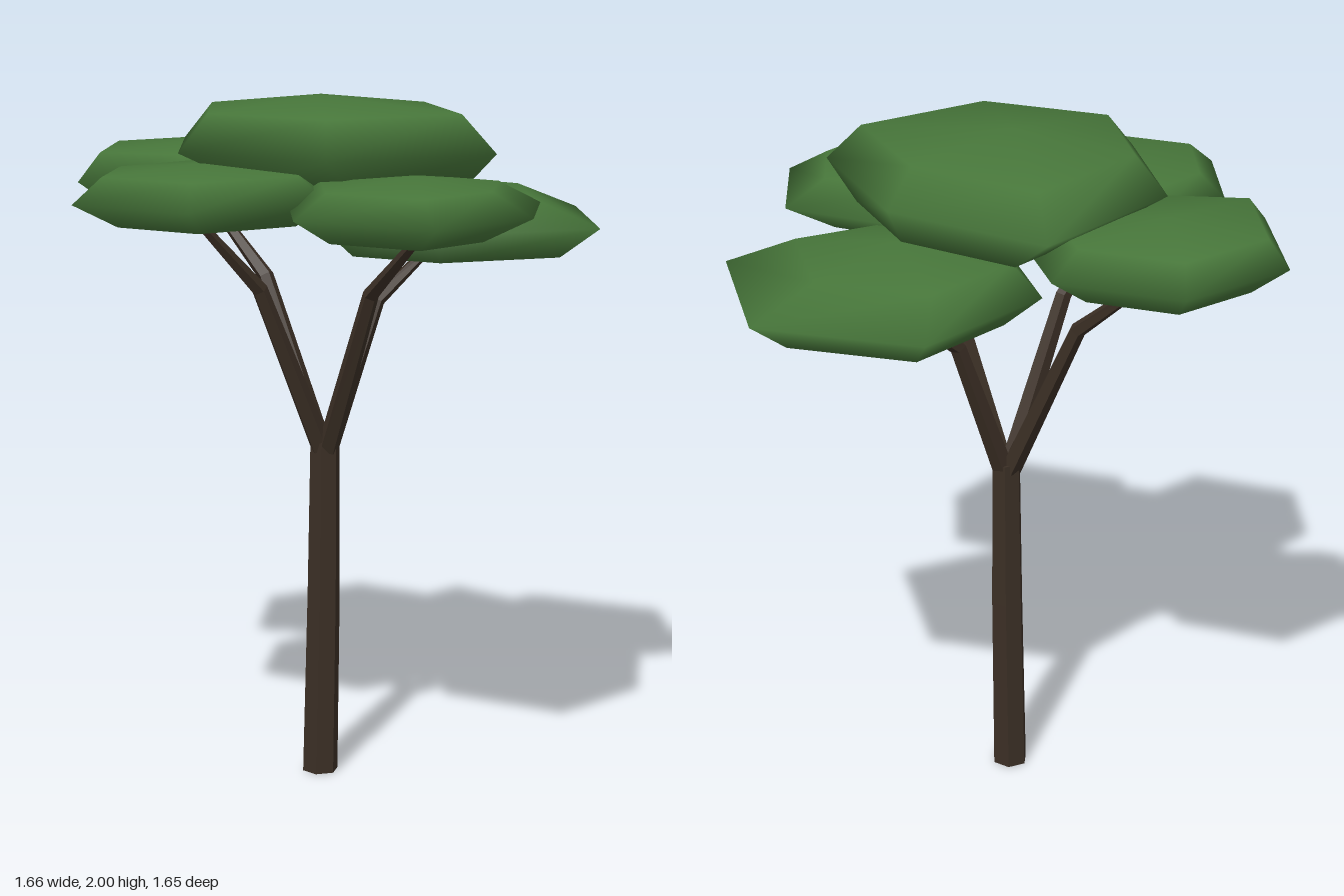
import * as THREE from 'three';

const leaf = new THREE.MeshStandardMaterial({ color: 0x47763a });
leaf.name = 'leaf green';
const bark = new THREE.MeshStandardMaterial({ color: 0x3b2f25 });
bark.name = 'bark brown';

// Skin equal rings of points, listed top to bottom and clockwise from above,
// closing both ends on a centre point.
function loft(top, rings, bottom) {
  const n = rings[0].length;
  const points = [top, ...rings.flat(), bottom];
  const index = [];
  const last = points.length - 1;
  for (let i = 0; i < n; i++) {
    const j = (i + 1) % n;
    index.push(0, 1 + j, 1 + i);
    for (let r = 0; r < rings.length - 1; r++) {
      const a = 1 + r * n + i, b = 1 + r * n + j;
      index.push(a, b, b + n, a, b + n, a + n);
    }
    index.push(last, last - n + i, last - n + j);
  }
  const geometry = new THREE.BufferGeometry().setFromPoints(points);
  geometry.setIndex(index);
  geometry.computeVertexNormals();
  return geometry;
}

// Flattened six-sided leaf cushion: heights run from crown to underside,
// upper and lower are [scale, dx, dz] of the rings beside the rim.
function cushion(name, rim, heights, upper, lower) {
  const mid = (k) => {
    const values = rim.map((p) => p[k]);
    return (Math.min(...values) + Math.max(...values)) / 2;
  };
  const cx = mid(0), cz = mid(1);
  const ring = ([s, dx, dz], y) => rim.map(([x, z]) =>
    new THREE.Vector3(cx + dx + (x - cx) * s, y, cz + dz + (z - cz) * s));
  const [crown, high, middle, low, base] = heights;
  const geometry = loft(
    new THREE.Vector3(cx + upper[1], crown, cz + upper[2]),
    [ring(upper, high), ring([1, 0, 0], middle), ring(lower, low)],
    new THREE.Vector3(cx + lower[1], base, cz + lower[2]));
  const mesh = new THREE.Mesh(geometry, leaf);
  mesh.name = name;
  return mesh;
}

// Faceted limb through [x, y, z, radius] stations, from tip to base.
function limb(name, stations, sides, level = false) {
  const pts = stations.map((s) => new THREE.Vector3(s[0], s[1], s[2]));
  const rings = pts.map((p, k) => {
    const axis = level ? new THREE.Vector3(0, 1, 0)
      : pts[Math.max(k - 1, 0)].clone().sub(pts[Math.min(k + 1, pts.length - 1)]).normalize();
    const u = new THREE.Vector3(1, 0, 0).addScaledVector(axis, -axis.x).normalize();
    const v = axis.clone().cross(u);
    return Array.from({ length: sides }, (_, i) => {
      const a = -(i + 0.25) / sides * Math.PI * 2;
      return p.clone().addScaledVector(u, Math.cos(a) * stations[k][3])
        .addScaledVector(v, Math.sin(a) * stations[k][3]);
    });
  });
  const geometry = loft(pts[0], rings, pts[pts.length - 1]).toNonIndexed();
  geometry.computeVertexNormals();
  const mesh = new THREE.Mesh(geometry, bark);
  mesh.name = name;
  return mesh;
}

export function createModel() {
  const tree = new THREE.Group();
  tree.name = 'tree';

  // Trunk, slightly bent
  tree.add(limb('trunk', [
    [-0.033, 1.0, -0.045, 0.044],
    [-0.037, 0.55, -0.047, 0.049],
    [-0.048, 0, -0.05, 0.053],
  ], 6, true));

  // Branches: knee and tip of each
  const branches = [
    ['leftwardBranch', [0.14, 1.4, -0.04], [0.34, 1.56, -0.03]],
    ['rightwardBranch', [-0.25, 1.46, -0.04], [-0.46, 1.68, -0.03]],
    ['frontBranch', [-0.03, 1.46, 0.2], [-0.03, 1.66, 0.46]],
    ['backBranch', [-0.1, 1.46, -0.27], [-0.16, 1.67, -0.51]],
  ];
  for (const [name, knee, tip] of branches) {
    const start = [-0.033 + (knee[0] + 0.033) * 0.06, 0.98, -0.045 + (knee[2] + 0.045) * 0.06];
    tree.add(limb(name, [[...tip, 0.013], [...knee, 0.024], [...start, 0.032]], 5));
  }

  // Leaf cushions
  tree.add(
    cushion('topCanopy',
      [[-0.5, -0.05], [-0.27, -0.44], [0.24, -0.53], [0.39, -0.05], [0.24, 0.42], [-0.27, 0.36]],
      [2.0, 1.965, 1.86, 1.765, 1.735], [0.8, 0, 0.01], [0.72, 0.08, 0]),
    cushion('leftCanopy',
      [[-0.07, 0], [0.1, -0.35], [0.56, -0.42], [0.83, -0.02], [0.59, 0.43], [0.12, 0.32]],
      [1.75, 1.71, 1.63, 1.54, 1.52], [0.68, -0.06, -0.02], [0.75, -0.01, 0]),
    cushion('rightCanopy',
      [[-0.83, -0.04], [-0.62, -0.31], [-0.25, -0.36], [-0.05, 0], [-0.22, 0.29], [-0.65, 0.29]],
      [1.83, 1.81, 1.74, 1.67, 1.635], [0.77, 0, 0], [0.7, 0.02, 0]),
    cushion('frontCanopy',
      [[-0.43, 0.46], [-0.25, 0.12], [0.2, 0.12], [0.36, 0.46], [0.14, 0.74], [-0.22, 0.82]],
      [1.82, 1.79, 1.725, 1.65, 1.63], [0.7, -0.01, -0.02], [0.65, 0, -0.05]),
    cushion('backCanopy',
      [[-0.59, -0.5], [-0.35, -0.83], [0.02, -0.82], [0.2, -0.5], [0.05, -0.2], [-0.38, -0.28]],
      [1.84, 1.82, 1.74, 1.66, 1.64], [0.8, 0, -0.01], [0.7, 0, 0]),
  );
  return tree;
}
